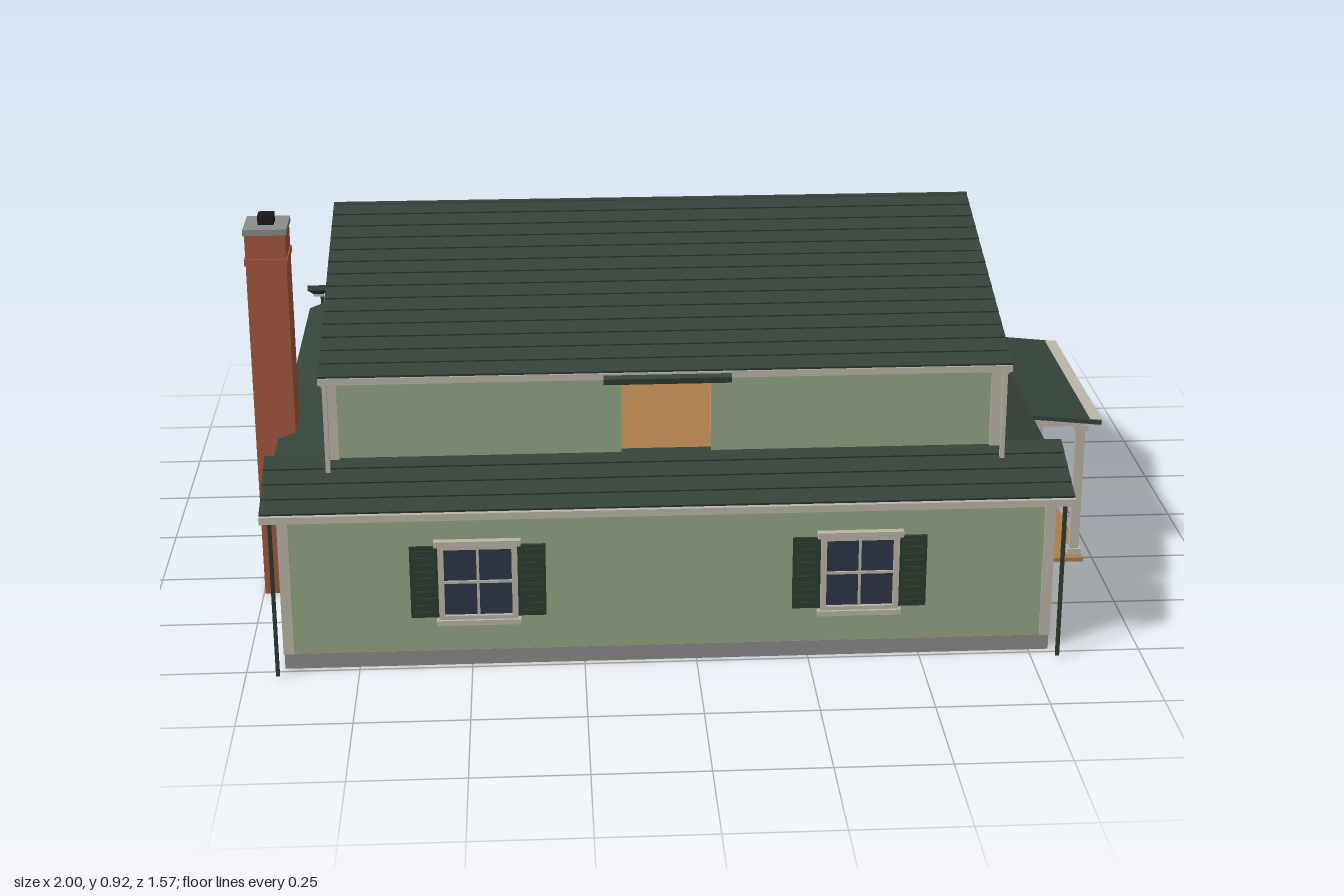
import * as THREE from 'three';
import { mergeGeometries } from 'three/addons/utils/BufferGeometryUtils.js';

const mat = (color) => new THREE.MeshStandardMaterial({ color, side: THREE.DoubleSide });
const M = {
  siding: mat(0x889a7a), trim: mat(0xbdb7a9), roof: mat(0x35433a), shutter: mat(0x2c3a2e),
  stone: mat(0x8b8b89), brick: mat(0xa5583f), wood: mat(0xab7e4a), red: mat(0x84291f),
  glass: mat(0x2a3747), dark: mat(0x1a1c1a),
};

function add(parent, name, geo, material, x = 0, y = 0, z = 0) {
  const m = new THREE.Mesh(geo, material);
  m.name = name;
  m.position.set(x, y, z);
  parent.add(m);
  return m;
}

// Box given by its extents
function box(parent, name, material, x0, x1, y0, y1, z0, z1) {
  return add(parent, name, new THREE.BoxGeometry(x1 - x0, y1 - y0, z1 - z0), material,
    (x0 + x1) / 2, (y0 + y1) / 2, (z0 + z1) / 2);
}

function group(parent, name, x = 0, y = 0, z = 0) {
  const g = new THREE.Group();
  g.name = name;
  g.position.set(x, y, z);
  parent.add(g);
  return g;
}

// Sloping board whose top edge runs from (zIn, yIn) down to (zOut, yOut)
function slab(parent, name, material, length, zIn, yIn, zOut, yOut, t) {
  const m = add(parent, name, new THREE.BoxGeometry(length, t, Math.hypot(zOut - zIn, yIn - yOut)),
    material, 0, (yIn + yOut) / 2 - t / 2, (zIn + zOut) / 2);
  m.rotation.x = Math.atan2(yIn - yOut, zOut - zIn);
  return m;
}

// Roof slope: a deck covered in slightly lifted shingle courses
function slope(parent, name, length, zIn, yIn, zOut, yOut, courses) {
  const g = group(parent, name);
  slab(g, 'roofDeck', M.roof, length, zIn, yIn - 0.004, zOut, yOut - 0.004, 0.01);
  for (let i = 0; i < courses; i++) {
    const z = (t) => zIn + (zOut - zIn) * t, y = (t) => yIn + (yOut - yIn) * t;
    const a = i / courses, b = (i + 1) / courses;
    slab(g, 'shingleCourse', M.roof, length, z(a), y(a), z(b), y(b) + 0.003, 0.006);
  }
}

// Wall facing local +z; optional peak makes a gable, optional opening is { w, y0, y1 }
function wall(parent, name, w, y0, y1, z, peak, opening) {
  const g = group(parent, name, 0, 0, z);
  const panel = (label, width, material, depth, back) => {
    const h = width / 2;
    const s = new THREE.Shape([[-h, y0], [h, y0], [h, y1], ...(peak ? [[0, peak]] : []), [-h, y1]]
      .map((p) => new THREE.Vector2(...p)));
    if (opening) {
      const o = opening.w / 2;
      s.holes.push(new THREE.Path([[-o, opening.y0], [-o, opening.y1], [o, opening.y1], [o, opening.y0]]
        .map((p) => new THREE.Vector2(...p))));
    }
    add(g, label, new THREE.ExtrudeGeometry(s, { depth, bevelEnabled: false }), material, 0, 0, back);
  };
  panel('wallPanel', w, M.siding, 0.014, -0.014);
  panel('wallLining', w - 0.06, M.trim, 0.006, -0.021);

  // Lap siding, split around the opening
  const step = 0.026, laps = [];
  const top = peak || y1;
  const lap = (a, b, y, h) => {
    const geo = new THREE.BoxGeometry(b - a, h, 0.005);
    const p = geo.attributes.position;
    for (let i = 0; i < p.count; i++) if (p.getY(i) > 0 && p.getZ(i) > 0) p.setZ(i, -0.002);
    geo.computeVertexNormals();
    laps.push(geo.translate((a + b) / 2, y + h / 2, 0.0025));
  };
  for (let y = y0; y < top - 0.012; y += step) {
    const h = Math.min(step, top - y);
    const hw = peak ? Math.min(w / 2, ((peak - y - h) / (peak - y1)) * w / 2) : w / 2;
    if (hw < 0.02) continue;
    if (opening && y + h > opening.y0 && y < opening.y1) {
      lap(-hw, -opening.w / 2, y, h);
      lap(opening.w / 2, hw, y, h);
    } else lap(-hw, hw, y, h);
  }
  add(g, 'lapSiding', mergeGeometries(laps), M.siding);

  // Corner boards
  for (const s of [-1, 1]) {
    box(g, 'cornerBoard', M.trim, s * w / 2 - 0.011 - s * 0.005, s * w / 2 + 0.011 - s * 0.005, y0, y1, -0.01, 0.008);
  }
  return g;
}

// Four-pane window with louvred shutters
function windowUnit(parent, x, y, w, h, shutterW) {
  const g = group(parent, 'window', x, y, 0);
  const a = w / 2, b = h / 2, f = 0.013;
  box(g, 'glass', M.glass, -a, a, -b, b, 0, 0.008);
  for (const s of [-1, 1]) {
    box(g, 'jamb', M.trim, s * a - (s > 0 ? f : 0), s * a + (s > 0 ? 0 : f), -b, b, 0, 0.016);
    box(g, 'rail', M.trim, -a, a, s * b - (s > 0 ? f : 0), s * b + (s > 0 ? 0 : f), 0, 0.016);
    const cx = s * (a + shutterW / 2), u = shutterW / 2, sh = b * 0.92;
    box(g, 'shutter', M.shutter, cx - u, cx + u, -sh, sh, 0, 0.009);
    for (let i = 0; i < 10; i++) {
      const ly = -sh + 0.012 + (i * (2 * sh - 0.024)) / 9;
      box(g, 'louvre', M.shutter, cx - u + 0.008, cx + u - 0.008, ly - 0.003, ly + 0.003, 0.006, 0.013);
    }
  }
  box(g, 'muntin', M.trim, -0.003, 0.003, -b, b, 0, 0.011);
  box(g, 'meetingRail', M.trim, -a, a, -0.003, 0.003, 0, 0.012);
  box(g, 'sill', M.trim, -a - 0.006, a + 0.006, -b - 0.008, -b + 0.004, 0, 0.022);
  box(g, 'headCasing', M.trim, -a - 0.008, a + 0.008, b - 0.006, b + 0.008, 0, 0.02);
}

// Trim around an opening
function casing(parent, o, f) {
  for (const s of [-1, 1]) {
    const x = s * (o.w / 2 + f / 2);
    box(parent, 'doorJamb', M.trim, x - f / 2, x + f / 2, o.y0, o.y1, -0.02, 0.01);
  }
  box(parent, 'doorHead', M.trim, -o.w / 2 - f, o.w / 2 + f, o.y1, o.y1 + f, -0.02, 0.012);
}

export function createModel() {
  const root = new THREE.Group();
  root.name = 'house';
  const house = group(root, 'mainHouse', -0.06);
  const turned = (name, angle) => {
    const g = group(house, name);
    g.rotation.y = angle;
    return g;
  };

  // Floors and foundation
  box(house, 'groundFloor', M.wood, -0.84, 0.84, 0.002, 0.012, -0.72, 0.72);
  box(house, 'upperFloor', M.wood, -0.725, 0.725, 0.43, 0.45, -0.595, 0.595);

  // Front and back
  for (const [name, angle] of [['frontSide', 0], ['backSide', Math.PI]]) {
    const side = turned(name, angle), front = angle === 0;
    box(side, 'foundation', M.stone, -0.853, 0.853, 0, 0.036, 0.695, 0.736);
    const lower = wall(side, 'lowerWall', 1.7, 0.036, 0.39, 0.73);
    for (const s of [-1, 1]) windowUnit(lower, s * 0.423, 0.203, 0.175, 0.185, 0.062);
    box(lower, 'friezeBoard', M.trim, -0.85, 0.85, 0.37, 0.39, 0, 0.01);

    const door = front ? { w: 0.2, y0: 0.45, y1: 0.632 } : null;
    const upper = wall(side, 'upperWall', 1.48, 0.385, 0.657, 0.61, 0, door);
    if (front) {
      slab(side, 'doorAwning', M.roof, 0.28, 0.6, 0.668, 0.68, 0.65, 0.014);
    } else windowUnit(upper, 0, 0.56, 0.14, 0.12, 0.06);
    box(upper, 'friezeBoard', M.trim, -0.74, 0.74, 0.64, 0.655, 0, 0.01);

    slope(side, 'mainRoofSlope', 1.52, 0, 0.857, 0.662, 0.66, 14);
    slope(side, 'skirtRoof', 1.78, 0.6, 0.456, 0.775, 0.388, 4);
    box(side, 'upperGutter', M.trim, -0.76, 0.76, 0.643, 0.658, 0.645, 0.665);
    box(side, 'lowerGutter', M.trim, -0.89, 0.89, 0.37, 0.386, 0.765, 0.785);
    for (const s of [-1, 1]) {
      box(side, 'upperDownspout', M.trim, s * 0.747 - 0.005, s * 0.747 + 0.005, 0.39, 0.65, 0.645, 0.656);
      box(side, 'lowerDownspout', M.shutter, s * 0.868 - 0.004, s * 0.868 + 0.004, 0.006, 0.375, 0.775, 0.784);
      // Rake boards under the roof edges
      slab(side, 'rakeBoard', M.trim, 0.012, 0, 0.845, 0.655, 0.647, 0.014).position.x = s * 0.75;
    }
  }
  const ridge = add(house, 'ridgeCap', new THREE.CylinderGeometry(0.007, 0.007, 1.52, 8), M.roof, 0, 0.855, 0);
  ridge.rotation.z = Math.PI / 2;

  // Gable ends
  for (const [name, angle] of [['porchSide', Math.PI / 2], ['chimneySide', -Math.PI / 2]]) {
    const side = turned(name, angle), porch = angle > 0;
    const entry = porch ? { w: 0.37, y0: 0.04, y1: 0.315 } : null;
    box(side, 'foundation', M.stone, -0.734, 0.734, 0, 0.036, 0.815, 0.856);
    const lower = wall(side, 'lowerWall', 1.46, 0.036, 0.39, 0.85, 0, entry);
    const upper = wall(side, 'gableWall', 1.22, 0.385, 0.655, 0.74, 0.845);
    slope(side, 'sideSkirtRoof', 1.2, 0.735, 0.456, 0.885, 0.39, 3);

    // Round gable vent
    const vent = group(upper, 'gableVent', 0, 0.75, 0.006);
    add(vent, 'ventRing', new THREE.TorusGeometry(0.032, 0.005, 8, 32), M.trim);
    add(vent, 'ventBack', new THREE.CircleGeometry(0.032, 32), M.dark);
    for (let i = -2; i <= 2; i++) {
      const y = i * 0.011, h = Math.sqrt(0.031 ** 2 - y * y);
      box(vent, 'ventSlat', M.stone, -h, h, y - 0.0015, y + 0.0015, 0, 0.005);
    }
    if (!porch) {
      windowUnit(lower, 0, 0.203, 0.175, 0.185, 0.062);
      continue;
    }

    // Entry with glazed doors folded back against the wall
    casing(lower, entry, 0.014);
    for (const s of [-1, 1]) {
      const d = group(lower, 'entryDoor', s * 0.236, 0, 0.006);
      box(d, 'doorPane', M.trim, -0.034, 0.034, 0.015, 0.27, 0, 0.006);
      for (const e of [-1, 1]) box(d, 'doorStile', M.red, e * 0.034 - 0.006, e * 0.034 + 0.006, 0.008, 0.278, 0, 0.012);
      for (const y of [0.008, 0.13, 0.262]) box(d, 'doorRail', M.red, -0.034, 0.034, y, y + 0.016, 0, 0.011);
    }

    // Porch
    const p = group(side, 'porch');
    box(p, 'porchFloor', M.wood, -0.272, 0.272, 0, 0.01, 0.845, 1.034);
    slab(p, 'porchRoof', M.roof, 0.57, 0.83, 0.395, 1.056, 0.372, 0.01);
    slab(p, 'porchCeiling', M.trim, 0.55, 0.85, 0.382, 1.05, 0.362, 0.005);
    box(p, 'porchGutter', M.trim, -0.28, 0.28, 0.36, 0.375, 1.03, 1.058);
    box(p, 'porchBeam', M.trim, -0.255, 0.255, 0.347, 0.365, 1.004, 1.026);
    for (const s of [-1, 1]) {
      const q = group(p, 'porchPost', s * 0.24, 0, 1.015);
      box(q, 'postShaft', M.trim, -0.011, 0.011, 0.008, 0.35, -0.011, 0.011);
      box(q, 'postBase', M.trim, -0.016, 0.016, 0.008, 0.026, -0.016, 0.016);
      box(q, 'postCapital', M.trim, -0.017, 0.017, 0.335, 0.35, -0.017, 0.017);
      box(p, 'sideBeam', M.trim, s * 0.245 - 0.009, s * 0.245 + 0.009, 0.348, 0.366, 0.85, 1.01);
    }
  }

  // Chimney
  const c = group(root, 'chimney', -0.951, 0, 0.288);
  box(c, 'chimneyStack', M.brick, -0.046, 0.046, 0, 0.888, -0.052, 0.052);
  box(c, 'brickBand', M.brick, -0.049, 0.049, 0.815, 0.83, -0.056, 0.056);
  box(c, 'chimneyCap', M.stone, -0.049, 0.049, 0.886, 0.9, -0.056, 0.056);
  box(c, 'flue', M.dark, -0.018, 0.018, 0.898, 0.922, -0.018, 0.018);
  return root;
}
